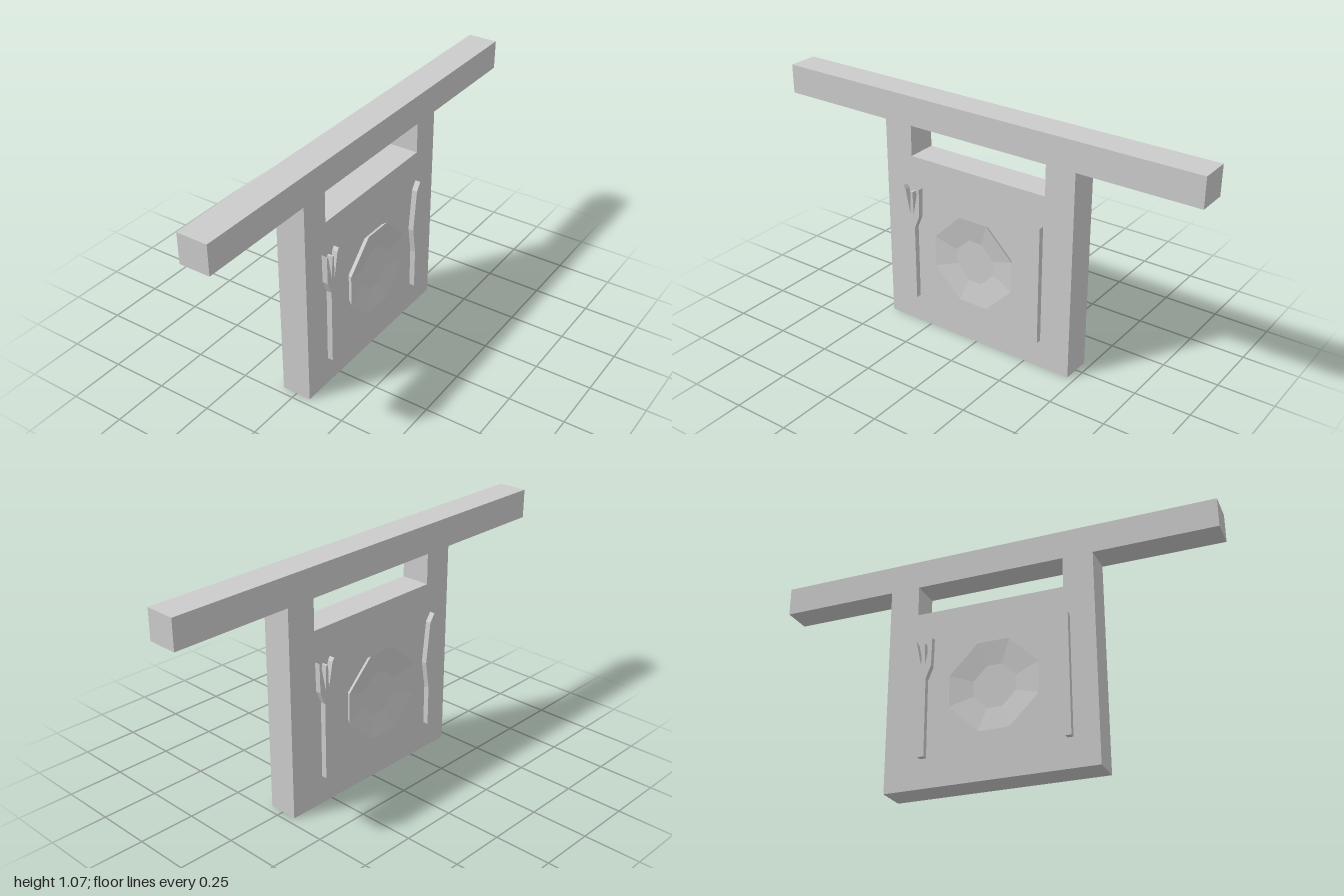
import * as THREE from 'three';

const material = new THREE.MeshStandardMaterial({ color: 0xcccccc, flatShading: true });
const HALF = 0.067;   // half thickness of the board
const RELIEF = 0.025; // how far the cutlery stands out

// Shape from [z, y] points, seen from +x (so +z lies to the left)
const outline = (points, Type = THREE.Shape) =>
  new Type(points.map(([z, y]) => new THREE.Vector2(-z, y)));

// Extrude a [z, y] shape along +x, starting at x = from
function slab(name, shape, from, depth) {
  const geometry = new THREE.ExtrudeGeometry(shape, { depth, bevelEnabled: false });
  geometry.rotateY(Math.PI / 2).translate(from, 0, 0);
  const mesh = new THREE.Mesh(geometry, material);
  mesh.name = name;
  return mesh;
}

// Shallow eight-sided dish flaring out from the board
function makePlate() {
  const profile = [[0.186, -0.005], [0.209, RELIEF], [0.1, 0.008], [0, 0.008]]
    .map(([r, h]) => new THREE.Vector2(r, h));
  const geometry = new THREE.LatheGeometry(profile, 8, Math.PI / 8);
  // Shorten the upright and level sides, lengthen the diagonal ones
  const p = geometry.attributes.position;
  for (let i = 0; i < p.count; i++) {
    const r = Math.hypot(p.getX(i), p.getZ(i));
    let a = Math.atan2(p.getZ(i), p.getX(i));
    a -= 0.055 * Math.sin(4 * a);
    p.setX(i, r * Math.cos(a)).setZ(i, r * Math.sin(a));
  }
  geometry.rotateZ(-Math.PI / 2).translate(HALF, 0.4, 0);
  const mesh = new THREE.Mesh(geometry.toNonIndexed(), material);
  mesh.geometry.computeVertexNormals();
  mesh.name = 'plate';
  return mesh;
}

// Plate, fork and knife on one face
function makeSetting(name) {
  const group = new THREE.Group();
  group.name = name;
  const fork = outline([
    [0.335, 0.13], [0.308, 0.13], [0.308, 0.477], [0.284, 0.535], [0.281, 0.665],
    [0.291, 0.65], [0.313, 0.54], [0.316, 0.645], [0.326, 0.645], [0.331, 0.54],
    [0.353, 0.65], [0.363, 0.665], [0.36, 0.535], [0.335, 0.477],
  ]);
  const knife = outline([
    [-0.304, 0.13], [-0.329, 0.13], [-0.329, 0.665], [-0.304, 0.628],
    [-0.283, 0.44], [-0.304, 0.315],
  ]);
  group.add(
    makePlate(),
    slab('fork', fork, HALF - 0.005, RELIEF + 0.005),
    slab('knife', knife, HALF - 0.005, RELIEF + 0.005),
  );
  return group;
}

export function createModel() {
  const model = new THREE.Group();
  model.name = 'hangingSign';

  // Board and crossbar in one piece, with the slot under the bar
  const board = outline([
    [0.468, 0], [-0.468, 0], [-0.468, 0.937], [-1, 0.937],
    [-1, 1.067], [1, 1.067], [1, 0.937], [0.468, 0.937],
  ]);
  board.holes.push(outline(
    [[0.334, 0.8], [0.334, 0.937], [-0.334, 0.937], [-0.334, 0.8]], THREE.Path));
  model.add(slab('board', board, -HALF, 2 * HALF));

  // The same setting on both faces, the second turned half round
  const left = makeSetting('leftSetting');
  const right = makeSetting('rightSetting');
  right.rotation.y = Math.PI;
  right.position.z = 0.03;
  model.add(left, right);
  return model;
}
